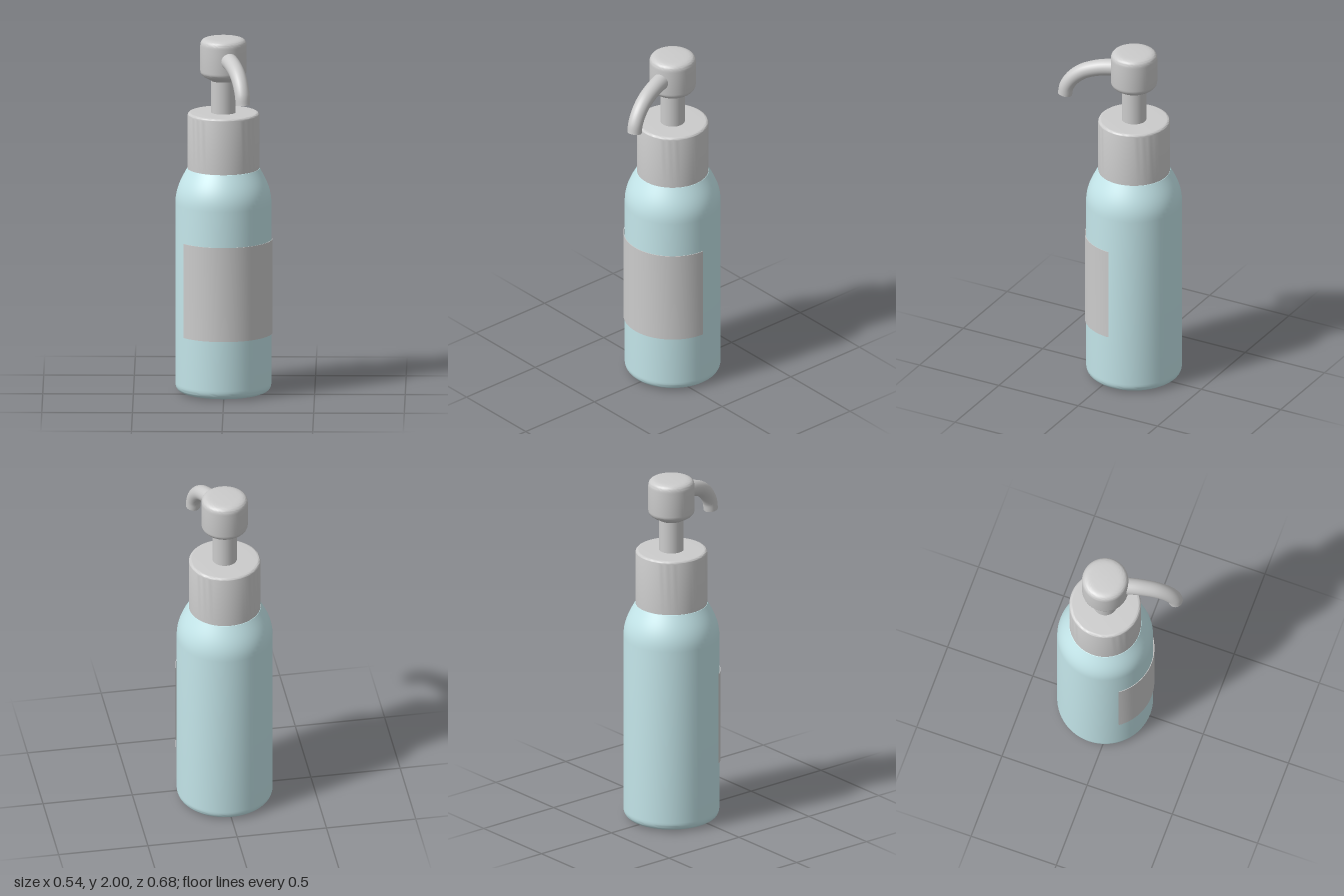
import * as THREE from 'three';
import { toCreasedNormals } from 'three/addons/utils/BufferGeometryUtils.js';

const grey = new THREE.MeshStandardMaterial({ color: 0xcccccc });
const greyThin = new THREE.MeshStandardMaterial({ color: 0xcccccc, side: THREE.DoubleSide });
const blue = new THREE.MeshStandardMaterial({ color: 0xc4e6ea });

function part(name, geometry, material) {
  const mesh = new THREE.Mesh(geometry, material);
  mesh.name = name;
  return mesh;
}

// Revolve a path of (radius, height), running from bottom to top
function turned(name, path, material) {
  const lathe = new THREE.LatheGeometry(path.getPoints(10), 64);
  return part(name, toCreasedNormals(lathe, 0.6), material);
}

// Curved spout in the YZ plane, narrowing towards its tip
function createSpout() {
  const spout = new THREE.Group();
  spout.name = 'spout';
  const path = new THREE.CatmullRomCurve3([
    [1.889, 0.06], [1.888, 0.125], [1.877, 0.2], [1.847, 0.285],
    [1.8, 0.345], [1.745, 0.38], [1.695, 0.39],
  ].map(([y, z]) => new THREE.Vector3(0, y, z)));
  const steps = 32, sides = 24, tip = 0.04, base = 0.048;
  const tube = new THREE.TubeGeometry(path, steps, base, sides);
  const pos = tube.attributes.position;
  const v = new THREE.Vector3();
  for (let i = 0; i <= steps; i++) {
    const centre = path.getPointAt(i / steps);
    const scale = THREE.MathUtils.lerp(1, tip / base, i / steps);
    for (let j = 0; j <= sides; j++) {
      const k = i * (sides + 1) + j;
      v.fromBufferAttribute(pos, k).sub(centre).multiplyScalar(scale).add(centre);
      pos.setXYZ(k, v.x, v.y, v.z);
    }
  }
  const end = part('spoutTip', new THREE.CircleGeometry(tip, sides), grey);
  end.position.copy(path.getPointAt(1));
  end.lookAt(end.position.clone().add(path.getTangentAt(1)));
  spout.add(part('spoutTube', tube, grey), end);
  return spout;
}

// Thin curved label wrapped around the front of the bottle
function createLabel() {
  const inner = 0.269, outer = 0.272, low = 0.34, high = 0.87;
  const profile = [[inner, low], [outer, low], [outer, high], [inner, high], [inner, low]]
    .map(([r, y]) => new THREE.Vector2(r, y));
  const span = THREE.MathUtils.degToRad(141);
  const wrap = new THREE.LatheGeometry(profile, 40, -span / 2, span);
  return part('label', toCreasedNormals(wrap, 0.6), greyThin);
}

export function createModel() {
  const model = new THREE.Group();
  model.name = 'pumpBottle';

  const bottle = new THREE.Path();
  bottle.moveTo(0, 0.005).lineTo(0.2, 0.005);
  bottle.bezierCurveTo(0.245, 0.008, 0.265, 0.02, 0.265, 0.06);
  bottle.lineTo(0.265, 1.07);
  bottle.bezierCurveTo(0.265, 1.15, 0.235, 1.2, 0.2, 1.265);
  bottle.lineTo(0.17, 1.275);

  const collar = new THREE.Path();
  collar.moveTo(0, 1.265).lineTo(0.198, 1.265).lineTo(0.198, 1.562);
  collar.quadraticCurveTo(0.198, 1.58, 0.18, 1.58);
  collar.lineTo(0, 1.58);

  const head = new THREE.Path();
  head.moveTo(0, 1.76).lineTo(0.068, 1.76);
  head.bezierCurveTo(0.09, 1.775, 0.128, 1.785, 0.128, 1.815);
  head.lineTo(0.128, 1.955);
  head.bezierCurveTo(0.128, 1.985, 0.115, 1.996, 0.08, 1.998);
  head.quadraticCurveTo(0.04, 2, 0, 2);

  const stem = part('stem', new THREE.CylinderGeometry(0.068, 0.068, 0.21, 40), grey);
  stem.position.y = 1.67;

  // Spout and label share a slight turn to the left
  const facing = new THREE.Group();
  facing.name = 'turnedFront';
  facing.rotation.y = THREE.MathUtils.degToRad(16.6);
  facing.add(createSpout(), createLabel());

  model.add(
    turned('bottle', bottle, blue),
    turned('collar', collar, grey),
    stem,
    turned('pumpHead', head, grey),
    facing,
  );
  // Offset so the spout's overhang is included in the centring
  const root = new THREE.Group();
  model.position.set(-0.004, 0, -0.074);
  root.add(model);
  return root;
}
